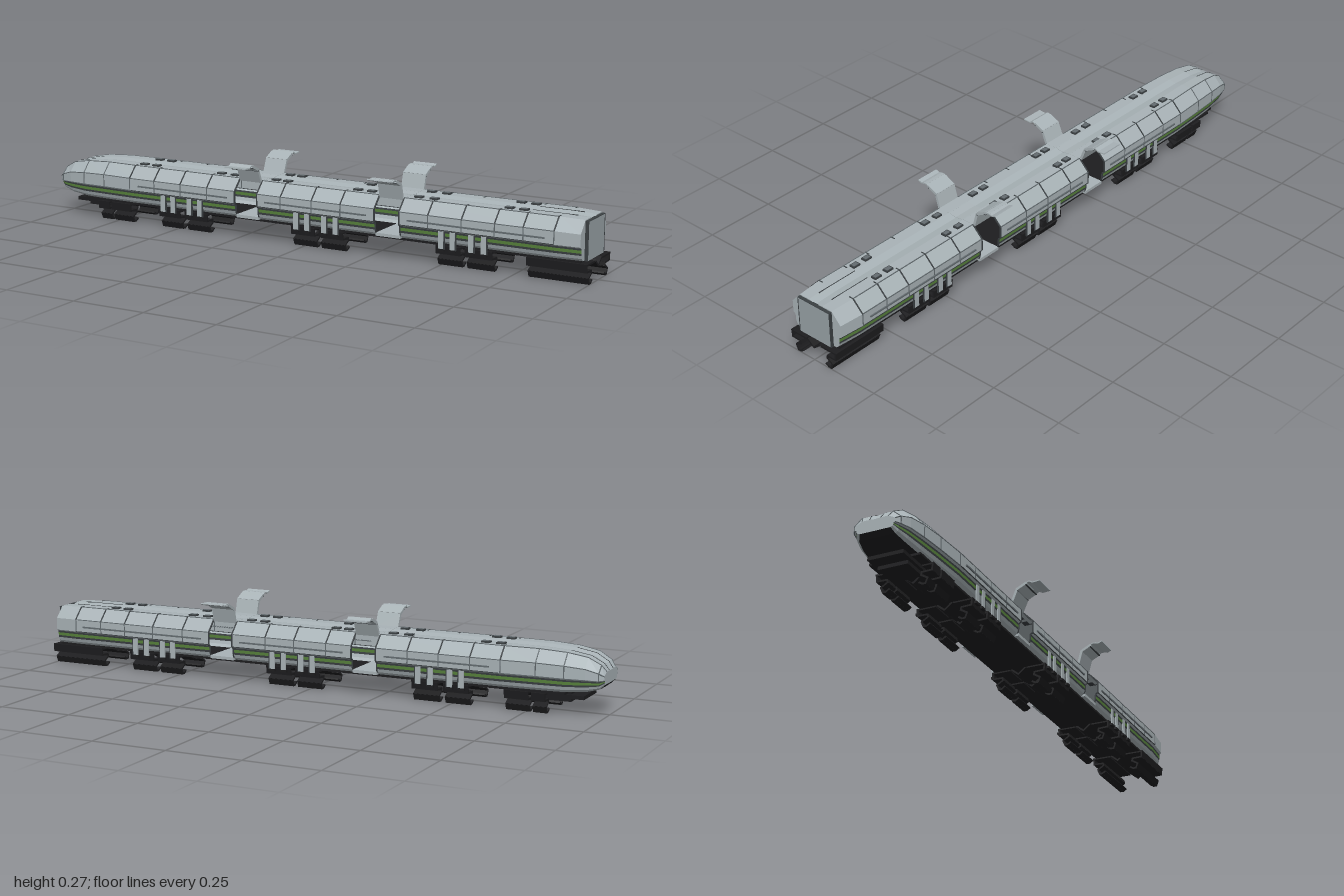
import * as THREE from 'three';

const mat = (name, color, side = THREE.FrontSide) => {
  const m = new THREE.MeshStandardMaterial({ color, side });
  m.name = name;
  return m;
};

// Half cross-section [z, y] from roof centre to floor centre
const HALF = [[0, .198], [.03, .203], [.072, .203], [.11, .164], [.11, .142], [.11, .122],
  [.102, .117], [.101, .111], [.101, .101], [.1, .094], [.096, .083], [.085, .074], [0, .073]];
const MIRROR = HALF.slice(1, -1).reverse().map(([z, y]) => [-z, y]);
const PROFILE = [...HALF, ...MIRROR];
// Material slot of each band down one side: 0 body, 1 trim, 2 green, 3 black
const BANDS = [0, 0, 0, 0, 0, 0, 1, 2, 1, 0, 0, 3];
const BAND_LOOP = [...BANDS, ...[...BANDS].reverse()];
// Stations along the train: x, width factor, underside y, roof y
const STATIONS = [[-1, .6, .105, .145], [-.985, .7, .09, .165], [-.945, .8, .08, .187], [-.88, .88, .074, .198],
  [-.79, .94, .073, .203], [-.67, 1, .073, .203], [.9, 1, .073, .203], [.98, .93, .073, .2]];

// Cross-section point j at position x
function at(x, j, out = 0) {
  let i = 0;
  while (i < STATIONS.length - 2 && STATIONS[i + 1][0] < x) i++;
  const a = STATIONS[i], b = STATIONS[i + 1];
  const t = (x - a[0]) / (b[0] - a[0]);
  const [w, lo, hi] = [1, 2, 3].map(k => a[k] + (b[k] - a[k]) * t);
  const [z, y] = PROFILE[j % PROFILE.length];
  return new THREE.Vector3(x, lo + (y - .073) / .13 * (hi - lo) + out, z * w + Math.sign(z) * out);
}

// Shell through the cross-sections at each x, with optional end caps
function shell(xs, capFront, capBack) {
  const n = PROFILE.length, buckets = [[], [], [], []];
  const tri = (k, ...pts) => pts.forEach(p => buckets[k].push(p.x, p.y, p.z));
  for (let i = 0; i < xs.length - 1; i++) {
    for (let j = 0; j < n; j++) {
      const a = at(xs[i], j), b = at(xs[i], j + 1), c = at(xs[i + 1], j + 1), d = at(xs[i + 1], j);
      tri(BAND_LOOP[j], a, b, c);
      tri(BAND_LOOP[j], a, c, d);
    }
  }
  const cap = (x, flip) => {
    const mid = at(x, 0).add(at(x, 12)).multiplyScalar(.5);
    for (let j = 0; j < n; j++) {
      const p = at(x, j), q = at(x, j + 1);
      flip ? tri(0, mid, q, p) : tri(0, mid, p, q);
    }
  };
  if (capFront) cap(xs[0], true);
  if (capBack) cap(xs[xs.length - 1], false);
  const g = new THREE.BufferGeometry();
  let start = 0;
  buckets.forEach((b, k) => { g.addGroup(start, b.length / 3, k); start += b.length / 3; });
  g.setAttribute('position', new THREE.Float32BufferAttribute(buckets.flat(), 3));
  g.computeVertexNormals();
  return g;
}

export function createModel() {
  const root = new THREE.Group();
  root.name = 'magneticTrain';
  const D = THREE.DoubleSide;
  const body = mat('bodyGrey', 0xa9b3b7, D), trim = mat('darkTrim', 0x3b4043, D);
  const green = mat('greenStripe', 0x557f3a, D), black = mat('undercarriageBlack', 0x1d1d1f, D);
  const panel = mat('panelGrey', 0x99a3a7), seamGrey = mat('seamGrey', 0x646c70);
  const skin = [body, trim, green, black];

  const group = (name, parent = root) => {
    const g = new THREE.Group();
    g.name = name;
    parent.add(g);
    return g;
  };
  const add = (parent, name, geo, m) => {
    const mesh = new THREE.Mesh(geo, m);
    mesh.name = name;
    parent.add(mesh);
    return mesh;
  };
  const box = (parent, name, m, x0, x1, y0, y1, z0, z1) =>
    add(parent, name, new THREE.BoxGeometry(x1 - x0, y1 - y0, Math.abs(z1 - z0)), m)
      .position.set((x0 + x1) / 2, (y0 + y1) / 2, (z0 + z1) / 2);
  // Thin bar between two points
  const bar = (parent, name, m, a, b, w) => {
    const mesh = add(parent, name, new THREE.BoxGeometry(w, a.distanceTo(b), w), m);
    mesh.position.copy(a).add(b).multiplyScalar(.5);
    mesh.quaternion.setFromUnitVectors(new THREE.Vector3(0, 1, 0), b.clone().sub(a).normalize());
  };
  // Bent plate: [z, y] path swept from x0 to x1, one slab per leg
  const plate = (parent, name, m, path, t, x0, x1, s) => {
    for (let i = 0; i < path.length - 1; i++) {
      const [z0, y0] = path[i], [z1, y1] = path[i + 1];
      const dz = (z1 - z0) * s, dy = y1 - y0;
      const mesh = add(parent, name, new THREE.BoxGeometry(x1 - x0, Math.hypot(dz, dy) + t * .6, t), m);
      mesh.position.set((x0 + x1) / 2, (y0 + y1) / 2, s * (z0 + z1) / 2);
      mesh.rotation.x = Math.atan2(dz, dy);
    }
  };

  // Hull sections, separated by the two doorways
  const doors = [[-.25, -.163], [.277, .366]];
  const hull = group('hull');
  add(hull, 'noseSection', shell([...STATIONS.slice(0, 6).map(s => s[0]), doors[0][0]], true, false), skin);
  add(hull, 'middleSection', shell([doors[0][1], doors[1][0]]), skin);
  add(hull, 'tailSection', shell([doors[1][1], .9, .98], false, true), skin);
  box(hull, 'endPanel', panel, .97, .99, .072, .195, -.065, .065);
  for (const s of [-1, 1]) box(hull, 'endPanelFrame', trim, .978, .991, .072, .197, s * .065, s * .0675);
  box(hull, 'endPanelTop', trim, .978, .991, .195, .197, -.066, .066);

  // Doorways: floor, roof bridge and raised two-leaf doors
  const doorPaths = [
    [[.075, .2], [.093, .243], [.124, .258], [.136, .263], [.148, .256], [.173, .258]],
    [[.075, .2], [.088, .247], [.12, .263], [.128, .268], [.14, .268], [.15, .265], [.163, .27]]];
  doors.forEach(([x0, x1], i) => {
    const g = group('doorway' + (i + 1));
    box(g, 'doorFloor', body, x0, x1, .074, .084, -.1, .1);
    for (const s of [-1, 1]) {
      plate(g, 'roofBridge', body, [[0, .197], [.03, .201], [.075, .201]], .005, x0, x1, s);
      const p = doorPaths[i];
      plate(g, 'raisedDoorUpper', body, p.slice(0, 3), .009, x0 + .003, x1 - .003, s);
      plate(g, 'raisedDoorLower', body, p.slice(2), .004, x0 + .003, x1 - .003, s);
      for (const k of [1, 2]) {
        box(g, 'doorHinge', trim, x0 + .003, x1 - .003, p[k][1] - .006, p[k][1] - .003, s * (p[k][0] - .003), s * (p[k][0] + .003));
      }
      for (const x of [x0, x1]) {
        for (let j = 2; j < 10; j++) {
          const k = s > 0 ? j : 24 - j, k2 = s > 0 ? j + 1 : 23 - j;
          bar(g, 'doorFrame', trim, at(x, k), at(x, k2), .004);
        }
      }
    }
  });

  // Panel seams
  const seams = group('panelSeams');
  const seamX = [-.676, -.575, -.468, -.36, -.072, .045, .152, .468, .585, .698, .794, .896];
  const runs = [[-.67, doors[0][0]], [doors[0][1], doors[1][0]], [doors[1][1], .896]];
  const noseX = STATIONS.slice(0, 6).map(s => s[0]);
  for (const s of [-1, 1]) {
    const side = j => (s > 0 ? j : 24 - j);
    for (const x of seamX) {
      bar(seams, 'shoulderSeam', trim, at(x, side(2)), at(x, side(3)), .004);
      bar(seams, 'sideSeam', seamGrey, at(x, side(3)), at(x, side(5)), .003);
      box(seams, 'roofSeam', trim, x - .002, x + .002, .2, .204, s * .057, s * .072);
    }
    for (const [a, b] of runs) {
      for (const j of [2, 3, 5]) bar(seams, 'lengthSeam', j === 5 ? trim : seamGrey, at(a, side(j)), at(b, side(j)), .0025);
      box(seams, 'sideRail', seamGrey, a + .03, b - .03, .137, .142, s * .11, s * .114);
    }
    // Nose window outlines and shoulder lines
    for (let i = 0; i < 5; i++) {
      for (const j of [2, 3, 5]) bar(seams, 'noseSeam', seamGrey, at(noseX[i], side(j)), at(noseX[i + 1], side(j)), .0025);
      if (i < 3) bar(seams, 'windscreenLine', trim, at(noseX[i], side(1)), at(noseX[i + 1], side(1)), .002);
    }
    for (const x of [-.985, -.88, -.79]) {
      bar(seams, 'noseRib', seamGrey, at(x, side(2)), at(x, side(3)), .003);
      bar(seams, 'noseRib', seamGrey, at(x, side(3)), at(x, side(5)), .003);
    }
    // Tail roof grooves
    box(seams, 'tailGroove', trim, .79, .94, .2, .2037, s * .026, s * .028);
  }

  // Roof vents in pairs
  const vents = group('roofVents');
  for (const x of [-.655, -.605, -.34, -.285, -.125, -.08, .185, .235, .405, .46, .72, .77]) {
    for (const s of [-1, 1]) {
      box(vents, 'roofVent', trim, x - .014, x + .014, .202, .2085, s * .036, s * .056);
      box(vents, 'ventCover', seamGrey, x - .01, x + .01, .208, .2095, s * .039, s * .053);
    }
  }

  // Underframe
  const under = group('underframe');
  box(under, 'floorPlate', black, -.88, .975, .067, .0745, -.086, .086);
  box(under, 'frontSkid', black, -.935, -.78, .052, .064, -.06, .06);
  box(under, 'frontSkidMount', black, -.89, -.8, .04, .07, -.05, .05);

  // Levitation bogies: hooked arms on each side and a central keel
  const hook = [[.094, .067], [.092, .044], [.058, .043], [.056, .034], [.078, .021], [.071, .004], [.061, .004], [.05, .011]];
  const bogies = [[-.82, -.775], [-.765, -.685], [-.565, -.48], [-.46, -.37], [-.04, .048], [.065, .155],
    [.49, .575], [.592, .685], [.8, 1]];
  bogies.forEach(([x0, x1], i) => {
    const g = group('bogie' + (i + 1));
    for (const s of [-1, 1]) {
      plate(g, 'hookArm', black, hook, .006, x0, x1, s);
      box(g, 'bogieCrossArm', black, x0, x1, .062, .068, s * .03, s * .095);
      plate(g, 'centreKeel', black, [[.025, .066], [0, .046]], .006, x0, x1, s);
      if (i < 2 || i > 7) continue;
      // Suspension hangers on the hull side
      for (const t of [.25, .72]) {
        const x = x0 + (x1 - x0) * t;
        box(g, 'hanger', body, x - .009, x + .009, .058, .116, s * .1, s * .104);
        box(g, 'hangerShade', trim, x + .009, x + .013, .058, .116, s * .099, s * .103);
        box(g, 'hangerFoot', black, x - .011, x + .011, .052, .06, s * .09, s * .105);
      }
    }
  });
  return root;
}
